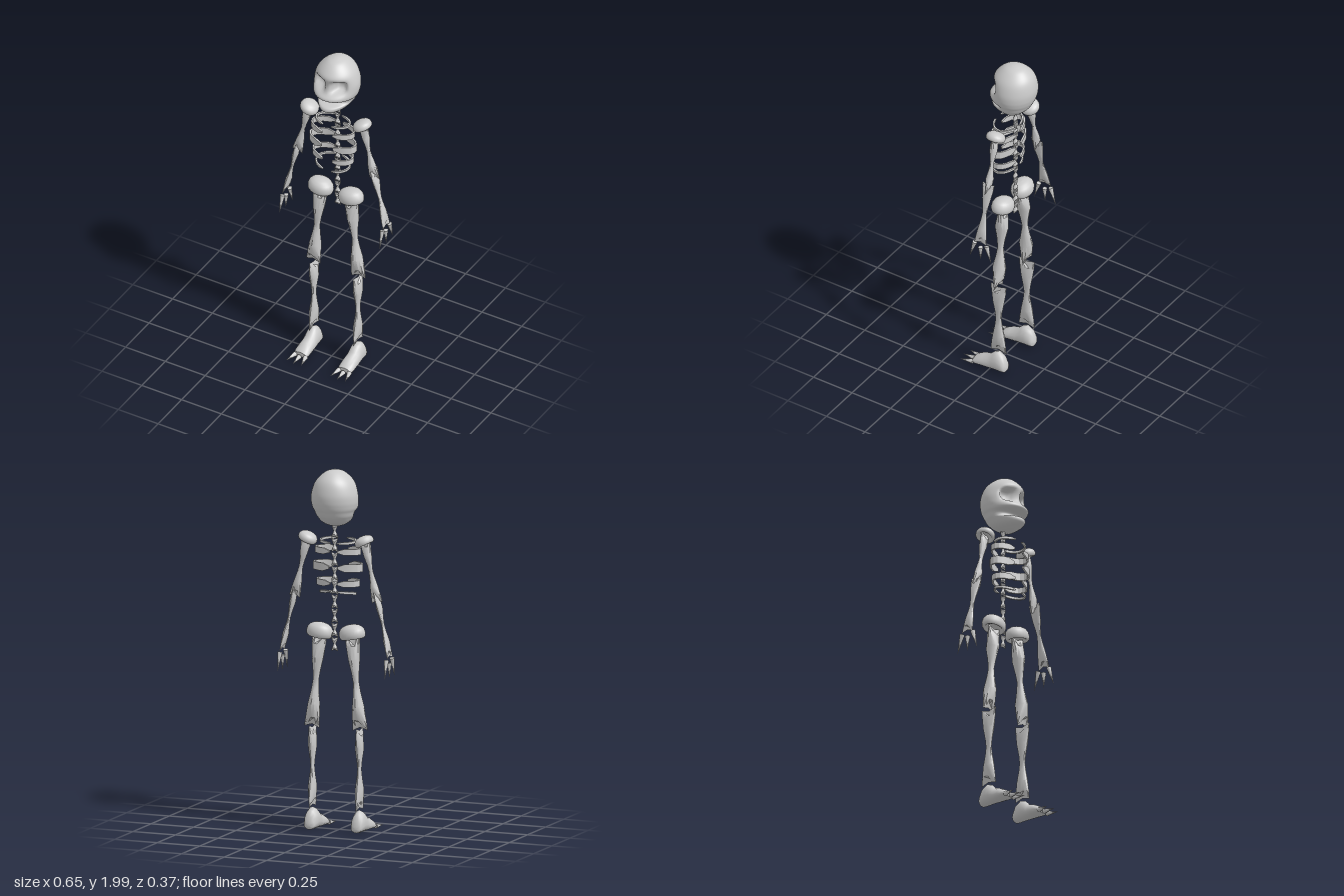
import * as THREE from 'three';
import { toCreasedNormals } from 'three/addons/utils/BufferGeometryUtils.js';

const V = (x, y, z) => new THREE.Vector3(x, y, z);
const UP = V(0, 1, 0);
const grey = new THREE.MeshStandardMaterial({ color: 0xcccccc });

function add(parent, geo, name) {
  const mesh = new THREE.Mesh(geo, grey);
  mesh.name = name;
  parent.add(mesh);
  return mesh;
}

// Closed skin over rings of points, each counterclockwise about the direction of travel
function loft(rings, crease) {
  const n = rings[0].length, index = [];
  const pts = rings.flat();
  for (let i = 0; i < rings.length - 1; i++) {
    for (let j = 0; j < n; j++) {
      const a = i * n + j, b = i * n + (j + 1) % n;
      index.push(a, b, b + n, a, b + n, a + n);
    }
  }
  const centre = (r) => r.reduce((s, p) => s.add(p), V(0, 0, 0)).divideScalar(n);
  const first = pts.length, last = first + 1, off = (rings.length - 1) * n;
  pts.push(centre(rings[0]), centre(rings[rings.length - 1]));
  for (let j = 0; j < n; j++) {
    const k = (j + 1) % n;
    index.push(first, k, j, last, off + j, off + k);
  }
  const geo = new THREE.BufferGeometry().setFromPoints(pts);
  geo.setIndex(index);
  geo.computeVertexNormals();
  return crease ? toCreasedNormals(geo, crease) : geo;
}

// Bone with a slim waist and flat, V-notched ends: wide one way, lens-shaped the other
function bone(parent, name, from, to, w, d, notch, turned) {
  const dir = to.clone().sub(from), len = dir.length(), sides = 12;
  const half = [[1, 1, 0.1], [0.78, 0.92, 0.65], [0.5, 0.7, 1], [0.2, 0.45, 0.6]];
  const stations = [
    ...half.map(([t, a, b]) => [-t, a, b]),
    [0, 0.36, 0.42],
    ...half.map((s) => s).reverse(),
  ];
  const rings = stations.map(([t, a, b]) => Array.from({ length: sides }, (_, j) => {
    const ang = (j / sides) * Math.PI * 2, c = Math.cos(ang);
    const cut = Math.abs(t) === 1 ? notch * (1 - Math.abs(c)) : 0;
    return V(w * a * c, t * len / 2 - Math.sign(t) * cut, -d * b * Math.sin(ang));
  }));
  const mesh = add(parent, loft(rings, 0.6), name);
  mesh.position.copy(from).add(to).multiplyScalar(0.5);
  mesh.quaternion.setFromUnitVectors(UP, dir.normalize());
  if (turned) mesh.rotateY(Math.PI / 2);
}

// Hollow dome that covers a joint
function jointCap(parent, name, pos, rx, ry, rz, tilt) {
  const profile = [[0, 0.1], [0.5, -0.05], [0.7, -0.5], [0.85, -0.58], [0.96, -0.4], [1, -0.05],
    [0.95, 0.33], [0.8, 0.65], [0.55, 0.87], [0.28, 0.97], [0, 1]];
  const geo = new THREE.LatheGeometry(profile.map(([x, y]) => new THREE.Vector2(x, y)), 28);
  const mesh = add(parent, geo, name);
  mesh.scale.set(rx, ry, rz);
  mesh.position.copy(pos);
  mesh.rotation.z = tilt;
}

// Pointed finger or toe
function claw(parent, name, base, tip, r) {
  const dir = tip.clone().sub(base);
  const mesh = add(parent, new THREE.ConeGeometry(r, dir.length(), 8), name);
  mesh.position.copy(base).add(tip).multiplyScalar(0.5);
  mesh.quaternion.setFromUnitVectors(UP, dir.normalize());
}

function skull(parent) {
  // height, half width, back z, front z
  const sections = [
    [1.69, 0.03, -0.075, 0.0], [1.7, 0.058, -0.095, 0.05], [1.715, 0.078, -0.12, 0.076],
    [1.738, 0.095, -0.143, 0.07], [1.752, 0.104, -0.153, 0.025], [1.772, 0.112, -0.163, 0.025],
    [1.788, 0.121, -0.171, 0.075], [1.805, 0.126, -0.177, 0.08], [1.83, 0.13, -0.183, 0.058],
    [1.87, 0.128, -0.185, 0.048], [1.92, 0.112, -0.175, 0.056], [1.955, 0.088, -0.156, 0.035],
    [1.985, 0.053, -0.122, 0.0], [1.997, 0.022, -0.088, -0.035], [2.0, 0.004, -0.065, -0.058],
  ];
  const curve = (k) => new THREE.CatmullRomCurve3(
    sections.map((s) => V(s[1], s[0], s[k])), false, 'catmullrom', 0.5);
  const back = curve(2), front = curve(3), steps = 70, sides = 56, zc = -0.06;
  const rings = Array.from({ length: steps + 1 }, (_, i) => {
    const b = back.getPoint(i / steps), f = front.getPoint(i / steps);
    return Array.from({ length: sides }, (_, j) => {
      const a = (j / sides) * Math.PI * 2, s = -Math.sin(a);
      const x = b.x * Math.cos(a);
      let z = zc + s * (s > 0 ? f.z - zc : zc - b.z);
      // eye sockets
      if (s > 0) {
        const ex = (Math.abs(x) - 0.06) / 0.036, ey = (b.y - 1.868) / 0.036;
        z -= 0.05 * s * Math.exp(-(ex ** 4) - ey ** 4);
      }
      return V(x, b.y, z);
    });
  });
  add(parent, loft(rings), 'skull');
}

// Flat band curving from the chest round to the spine, tapered at both ends
function rib(parent, y, rx, h, droop) {
  const steps = 9;
  const rings = Array.from({ length: steps + 1 }, (_, i) => {
    const phi = 0.26 + (i / steps) * 2.7;
    const k = (i === 0 || i === steps ? 0.35 : 1) * h / 2;
    return [[1, 1], [-1, 1], [-1, -1], [1, -1]].map(([u, v]) => V(
      (rx + v * 0.005) * Math.sin(phi),
      y + u * k + droop * Math.cos(phi),
      -0.015 + (0.066 + v * 0.005) * Math.cos(phi)));
  });
  add(parent, loft(rings, 0.3), 'rib');
}

function foot(parent) {
  // z, half width, bottom, top
  const sections = [
    [-0.1, 0.015, 0.025, 0.05], [-0.092, 0.03, 0.012, 0.08], [-0.075, 0.037, 0.01, 0.115],
    [-0.045, 0.04, 0.01, 0.132], [-0.02, 0.041, 0.01, 0.122], [0.01, 0.042, 0.01, 0.092],
    [0.05, 0.044, 0.01, 0.078], [0.085, 0.044, 0.01, 0.058], [0.102, 0.038, 0.015, 0.045],
  ];
  const rings = sections.map(([z, w, lo, hi]) => Array.from({ length: 16 }, (_, j) => {
    const a = (j / 16) * Math.PI * 2, s = Math.sin(a);
    const mid = lo + (hi - lo) * 0.35;
    return V(0.138 + w * Math.cos(a), s > 0 ? mid + s * (hi - mid) : mid + s * (mid - lo), z);
  }));
  add(parent, loft(rings, 0.9), 'foot');
  for (const k of [-1, 0, 1]) {
    const z = k ? 0.1 : 0.11, x = 0.138;
    claw(parent, 'toe', V(x + k * 0.032, 0.022, z), V(x + k * 0.047, 0.018, z + 0.073), 0.014);
  }
}

// One side of the body, drawn on the model's left
function buildSide(name) {
  const g = new THREE.Group();
  g.name = name;
  const z = -0.045;

  jointCap(g, 'shoulderCap', V(0.165, 1.61, z), 0.054, 0.032, 0.055, 0.45);
  bone(g, 'upperArm', V(0.168, 1.62, z), V(0.243, 1.28, z), 0.032, 0.022, 0.035, false);
  bone(g, 'forearm', V(0.235, 1.34, z), V(0.317, 0.98, z), 0.038, 0.016, 0.035, true);
  for (const k of [-1, 0, 1]) {
    claw(g, 'finger', V(0.313, k ? 0.975 : 0.955, z + k * 0.038),
      V(0.315, 0.868, z + k * 0.07), 0.014);
  }

  jointCap(g, 'hipCap', V(0.095, 1.1, z), 0.075, 0.05, 0.06, 0.16);
  bone(g, 'thigh', V(0.095, 1.09, z), V(0.142, 0.57, z), 0.045, 0.04, 0.045, false);
  bone(g, 'shin', V(0.138, 0.585, z), V(0.138, 0.13, z), 0.051, 0.023, 0.04, true);
  foot(g);

  [[1.6, 0.1, 0.014, 0.006], [1.548, 0.128, 0.034, 0], [1.46, 0.139, 0.044, 0],
    [1.372, 0.12, 0.034, 0], [1.315, 0.1, 0.014, -0.012]].forEach((r) => rib(g, ...r));
  return g;
}

export function createModel() {
  const model = new THREE.Group();
  model.name = 'skeleton';
  skull(model);

  // Spine
  const count = 9, pitch = 0.7 / count;
  for (let i = 0; i < count; i++) {
    const y = 1.0 + i * pitch;
    bone(model, 'vertebra', V(0, y, -0.063), V(0, y + pitch, -0.063), 0.02, 0.014, 0.016, false);
  }

  const left = buildSide('leftSide');
  const right = buildSide('rightSide');
  right.scale.x = -1;
  model.add(left, right);
  return model;
}
